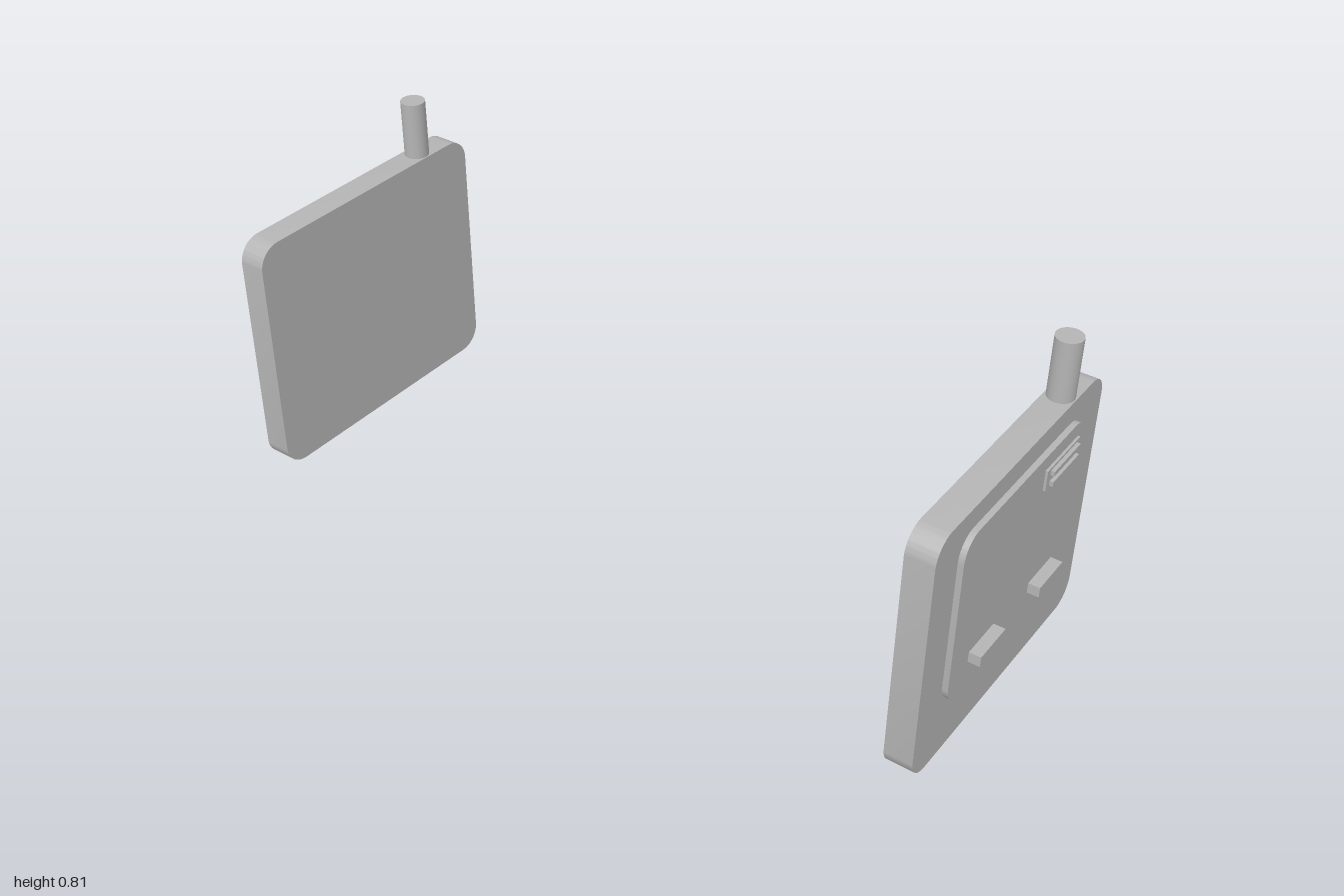
import * as THREE from 'three';
import { toCreasedNormals } from 'three/addons/utils/BufferGeometryUtils.js';

const grey = new THREE.MeshStandardMaterial({ color: 0xb4b4b4 });
grey.name = 'grey';

function add(group, name, geometry, x, y, z) {
  const mesh = new THREE.Mesh(geometry, grey);
  mesh.name = name;
  mesh.position.set(x, y, z);
  group.add(mesh);
}

// Rounded slab standing in the z-y plane, from x = 0 to x = depth
function slab(halfWidth, height, radius, depth) {
  const w = halfWidth, h = height, r = radius;
  const s = new THREE.Shape();
  s.moveTo(-w + r, 0);
  s.lineTo(w - r, 0);
  s.absarc(w - r, r, r, -Math.PI / 2, 0);
  s.lineTo(w, h - r);
  s.absarc(w - r, h - r, r, 0, Math.PI / 2);
  s.lineTo(-w + r, h);
  s.absarc(-w + r, h - r, r, Math.PI / 2, Math.PI);
  s.lineTo(-w, r);
  s.absarc(-w + r, r, r, Math.PI, Math.PI * 1.5);
  const g = new THREE.ExtrudeGeometry(s, { depth, bevelEnabled: false, curveSegments: 8 });
  return toCreasedNormals(g.rotateY(Math.PI / 2), 0.6);
}

// Box given by its x, y and z ranges
function block(group, name, [x0, x1], [y0, y1], [z0, z1]) {
  add(group, name, new THREE.BoxGeometry(x1 - x0, y1 - y0, z1 - z0),
    (x0 + x1) / 2, (y0 + y1) / 2, (z0 + z1) / 2);
}

function makeUnit(side, name, outer, ribs) {
  const unit = new THREE.Group();
  unit.name = name;
  // Range on x, mirrored for the unit on the other side
  const range = (a, b) => (side > 0 ? [a, b] : [-b, -a]);

  // Main plate and raised panel on its outer face
  add(unit, 'plate', slab(0.372, 0.653, 0.06, 0.07), range(outer - 0.07, outer)[0], 0, 0);
  const panelDepth = 0.971 - outer + 0.005;
  add(unit, 'panel', slab(0.272, 0.452, 0.056, panelDepth), range(outer - 0.005, 0.971)[0], 0.147, 0);

  // Post on the top edge
  add(unit, 'post', new THREE.CylinderGeometry(0.032, 0.032, 0.157, 32),
    side * (outer - 0.035), 0.7275, -0.226);

  // Pegs low on the panel
  for (const z of [-0.136, 0.136]) {
    block(unit, 'peg', range(0.965, 1), [0.223, 0.25], [z - 0.055, z + 0.055]);
  }

  // Vent with raised ribs
  block(unit, 'ventPlate', range(0.965, 0.977), [0.509, 0.562], [-0.235, -0.081]);
  for (const y of ribs) {
    block(unit, 'ventRib', range(0.97, 0.986), [y - 0.006, y + 0.006], [-0.22, -0.096]);
  }
  return unit;
}

export function createModel() {
  const model = new THREE.Group();
  model.name = 'pairOfPanels';
  model.add(makeUnit(1, 'leftUnit', 0.957, [0.522, 0.55]));
  model.add(makeUnit(-1, 'rightUnit', 0.962, [0.522, 0.55]));
  return model;
}
